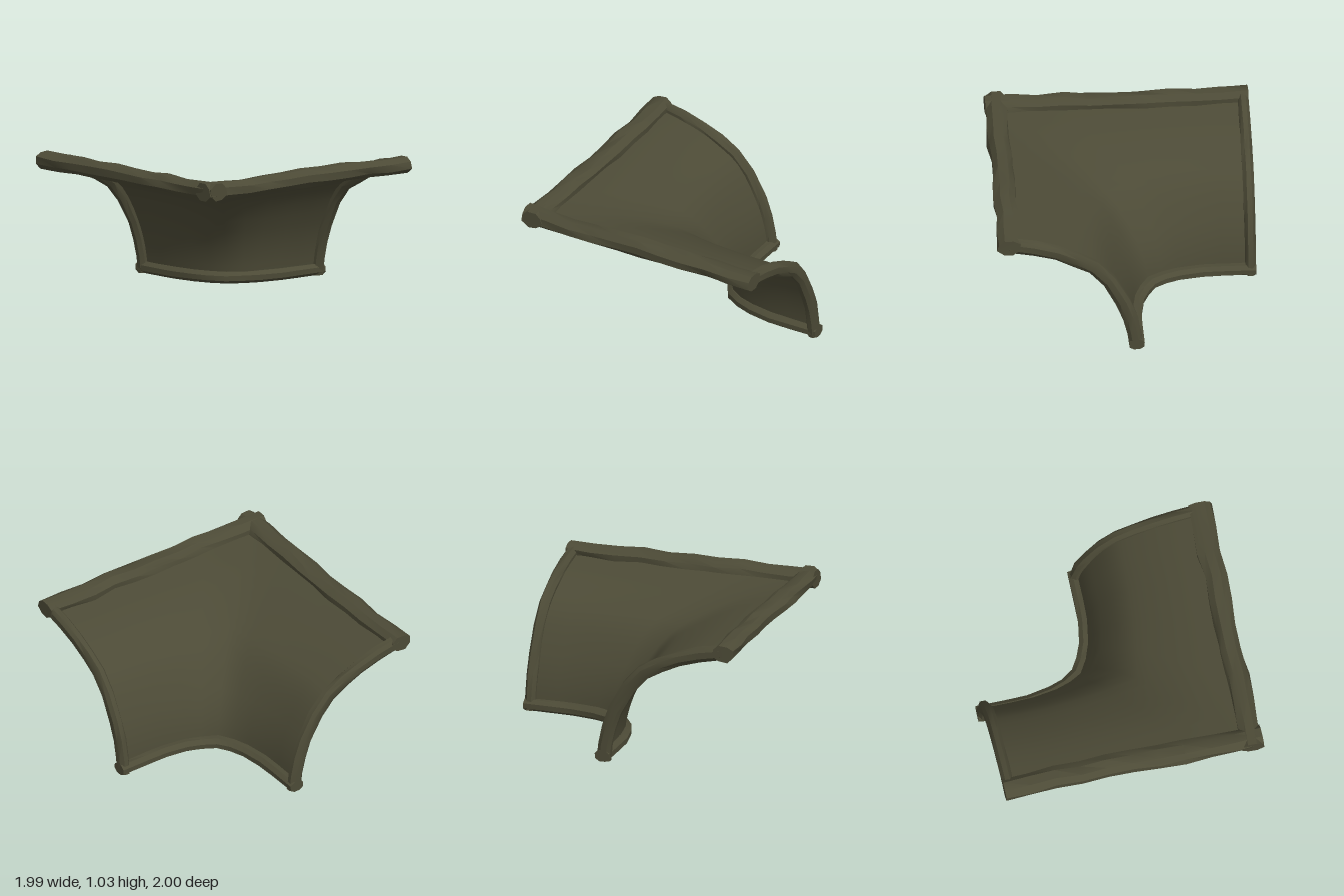
import * as THREE from 'three';
import { toCreasedNormals } from 'three/addons/utils/BufferGeometryUtils.js';

// seeded noise in -1..1 for the hand-hewn edges
let seed = 7;
const noise = () => {
  seed = (seed * 16807) % 2147483647;
  return (seed / 2147483647) * 2 - 1;
};
const V = (x, y, z) => new THREE.Vector3(x, y, z);
const clamp = THREE.MathUtils.clamp;

// arch profile: distance outward and height, from top to foot
const profile = new THREE.CatmullRomCurve3([
  V(-0.9, 0.955, 0), V(-0.62, 0.895, 0), V(-0.4, 0.805, 0), V(-0.21, 0.68, 0),
  V(-0.05, 0.41, 0), V(0.02, 0.2, 0), V(0.05, 0, 0),
]);
// foot line of one arm [x, z, matching z on the top edge], up to the diagonal
const foot = [
  [0.05, -0.97, -0.97], [0.05, -0.75, -0.7], [0.055, -0.6, -0.4], [0.085, -0.42, 0],
  [0.13, -0.3, 0.45], [0.195, -0.195, 0.9],
];
const mirrored = (p) => V(-p.z, p.y, -p.x);

function build(positions, indices) {
  const g = new THREE.BufferGeometry();
  g.setAttribute('position', new THREE.Float32BufferAttribute(positions, 3));
  g.setIndex(indices);
  return g;
}

// curved sheet: the profile carried round the inside corner
function sheetGeometry() {
  const rows = 18, pos = [], idx = [];
  const half = foot.map(([x, z, topZ]) => {
    const row = [];
    for (let i = 0; i <= rows; i++) {
      const p = profile.getPoint(i / rows);
      const w = (p.x + 0.9) / 0.95;
      row.push(V(-0.9 + (x + 0.9) * w, p.y, topZ + (z - topZ) * w));
    }
    return row;
  });
  const all = [...half, ...half.slice(0, -1).reverse().map((r) => r.map(mirrored))];
  all.forEach((r) => r.forEach((p) => pos.push(p.x, p.y, p.z)));
  const n = rows + 1;
  for (let c = 0; c < all.length - 1; c++) {
    for (let i = 0; i < rows; i++) {
      const a = c * n + i, b = a + n;
      idx.push(a, b, a + 1, b, b + 1, a + 1);
    }
  }
  const g = build(pos, idx);
  g.computeVertexNormals();
  return g;
}

// rough beam along points: half-size a along ref, b across it, cut flat at the block limits
function beamGeometry(points, ref, a, b, rough) {
  const sides = 8, pos = [], idx = [];
  const add = (p) => pos.push(clamp(p.x, -1, 1), clamp(p.y, 0, 1.03), clamp(p.z, -1, 1));
  points.forEach((p, i) => {
    const t = points[Math.min(i + 1, points.length - 1)].clone()
      .sub(points[Math.max(i - 1, 0)]).normalize();
    const side = t.clone().cross(ref).normalize();
    for (let j = 0; j < sides; j++) {
      const ang = ((j + 0.5) / sides) * Math.PI * 2;
      const u = clamp(Math.cos(ang) * 1.12, -1, 1) * a * (1 + noise() * rough);
      const v = clamp(Math.sin(ang) * 1.12, -1, 1) * b * (1 + noise() * rough);
      add(p.clone().addScaledVector(ref, u).addScaledVector(side, v));
    }
  });
  const last = (points.length - 1) * sides;
  for (let i = 0; i < points.length - 1; i++) {
    for (let j = 0; j < sides; j++) {
      const p = i * sides + j, q = i * sides + ((j + 1) % sides);
      idx.push(p, q, q + sides, p, q + sides, p + sides);
    }
  }
  for (let j = 1; j < sides - 1; j++) {
    idx.push(0, j + 1, j, last, last + j, last + j + 1);
  }
  return toCreasedNormals(build(pos, idx), 0.6);
}

export function createModel() {
  seed = 7;
  const group = new THREE.Group();
  const olive = new THREE.MeshStandardMaterial({ color: 0x4c4a36, side: THREE.DoubleSide });
  olive.name = 'dark olive';
  const add = (name, geometry) => {
    const m = new THREE.Mesh(geometry, olive);
    m.name = name;
    group.add(m);
  };
  const up = V(0, 1, 0);

  add('curvedSheet', sheetGeometry());

  // straight beams along the two upper edges
  const topLine = [];
  for (let i = 0; i <= 10; i++) {
    topLine.push(V(-0.895 + noise() * 0.012, 0.953 + noise() * 0.006, -1 + i * 0.197));
  }
  add('sideTopBeam', beamGeometry(topLine, up, 0.062, 0.08, 0.14));
  add('frontTopBeam', beamGeometry(topLine.map(mirrored), up, 0.062, 0.08, 0.14));

  // arched ribs on the two open ends
  const rib = [];
  for (let i = 0; i <= 9; i++) {
    const p = profile.getPoint(i / 9);
    rib.push(V(p.x, p.y, -0.96));
  }
  add('backRib', beamGeometry(rib, V(0, 0, 1), 0.042, 0.054, 0.1));
  add('rightRib', beamGeometry(rib.map(mirrored), V(1, 0, 0), 0.042, 0.054, 0.1));

  // foot rail round the inside corner
  const half = foot.map(([x, z], i) => V(x, 0.042, i ? z : -1));
  const rail = [...half, ...half.slice(0, -1).reverse().map(mirrored)];
  add('footRail', beamGeometry(rail, up, 0.045, 0.056, 0.06));

  return group;
}
